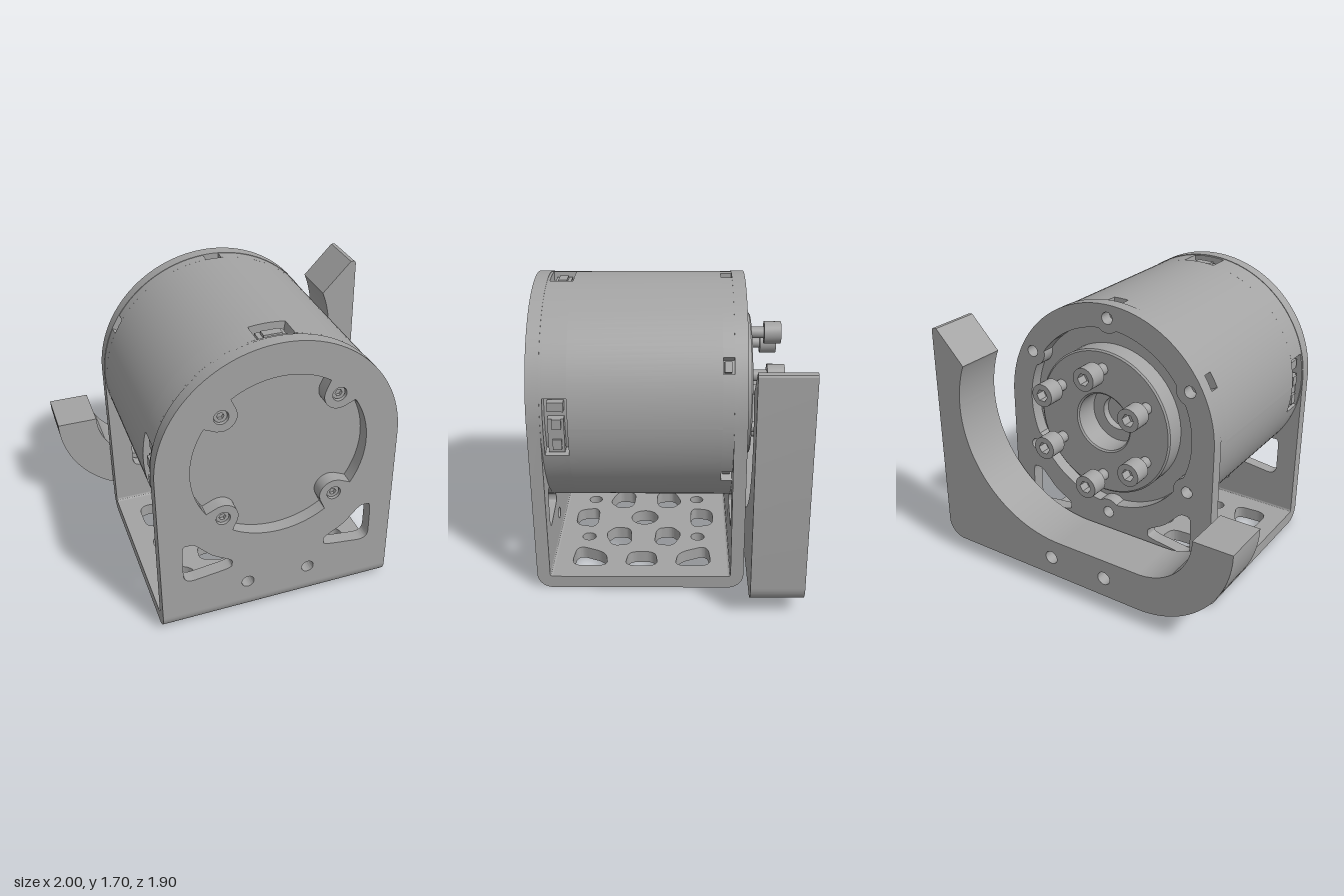
import * as THREE from 'three';
import { toCreasedNormals } from 'three/addons/utils/BufferGeometryUtils.js';

const PI = Math.PI;
const C = 1.025;                 // height of the motor axis
const R = 0.676;                 // body radius
const FRONT = 0.84, BACK = -0.366, T = 0.075;
const grey = new THREE.MeshStandardMaterial({ color: 0xa3a3a3 });
grey.name = 'metal grey';

function add(parent, name, geometry, x = 0, y = 0, z = 0) {
  const mesh = new THREE.Mesh(toCreasedNormals(geometry, 0.5), grey);
  mesh.name = name;
  mesh.position.set(x, y, z);
  parent.add(mesh);
  return mesh;
}
const extrude = (shape, depth, curveSegments = 40) =>
  new THREE.ExtrudeGeometry(shape, { depth, bevelEnabled: false, curveSegments });
const circle = (x, y, r) => new THREE.Path().absarc(x, y, r, 0, PI * 2);
const disc = (r, depth, sides = 64) => new THREE.CylinderGeometry(r, r, depth, sides).rotateX(PI / 2);

// closed polygon with softened corners
function rounded(pts, soft = 0.35) {
  const path = new THREE.Path();
  const v = pts.map(p => new THREE.Vector2(...p));
  v.forEach((p, i) => {
    const a = p.clone().lerp(v[(i + v.length - 1) % v.length], soft);
    const b = p.clone().lerp(v[(i + 1) % v.length], soft);
    if (i) path.lineTo(a.x, a.y); else path.moveTo(a.x, a.y);
    path.quadraticCurveTo(p.x, p.y, b.x, b.y);
  });
  path.closePath();
  return path;
}

// round opening with screw tabs bulging into it
function tabbedOpening(radius, tabs, tabDist, tabR, start) {
  const pts = [];
  for (let i = 0; i < 240; i++) {
    const a = i / 240 * PI * 2, step = PI * 2 / tabs;
    const d = a - start - Math.round((a - start) / step) * step;
    const s = tabR ** 2 - (tabDist * Math.sin(d)) ** 2;
    const r = s > 0 ? Math.min(radius, tabDist * Math.cos(d) - Math.sqrt(s)) : radius;
    pts.push(new THREE.Vector2(r * Math.cos(a), r * Math.sin(a)));
  }
  return new THREE.Path(pts);
}

// upright bracket plate, drawn around the motor axis
function plateShape() {
  const s = new THREE.Shape();
  s.moveTo(-R, 0.09 - C);
  s.lineTo(R, 0.09 - C);
  s.lineTo(R, 0);
  s.absarc(0, 0, R, 0, PI);
  s.closePath();
  for (const m of [-1, 1]) {
    s.holes.push(circle(m * 0.18, 0.215 - C, 0.036));
    s.holes.push(rounded([[-0.55, 0.574], [-0.485, 0.574], [-0.385, 0.468], [-0.27, 0.402], [-0.275, 0.35], [-0.55, 0.316]]
      .map(([x, y]) => [m * x, y - C]), 0.25));
  }
  return s;
}

// solid piece of the tubular housing wall
function wallPiece(a0, a1, depth) {
  const s = new THREE.Shape();
  s.absarc(0, 0, R - 0.003, a0, a1, false);
  s.absarc(0, 0, 0.58, a1, a0, true);
  s.closePath();
  return extrude(s, depth, 32);
}
// ring of housing wall interrupted by gaps [angle, half angle]
function slottedRing(parent, z0, z1, gaps) {
  gaps.forEach(([a, h], i) => {
    const [b, k] = gaps[(i + 1) % gaps.length];
    const end = i === gaps.length - 1 ? b + PI * 2 : b;
    add(parent, 'slottedHousing', wallPiece(a + h, end - k, z1 - z0), 0, 0, z0);
  });
}

// socket head screw, head pointing to +z with its top at z = 0
function screw(headR, headLen, shaftLen) {
  const g = new THREE.Group();
  g.name = 'socketScrew';
  const s = new THREE.Shape().absarc(0, 0, headR, 0, PI * 2);
  const hex = [];
  for (let i = 0; i < 6; i++) hex.push(new THREE.Vector2(Math.cos(i * PI / 3), Math.sin(i * PI / 3)).multiplyScalar(headR * 0.55));
  s.holes.push(new THREE.Path(hex));
  add(g, 'screwHead', extrude(s, headLen, 16), 0, 0, -headLen);
  add(g, 'socketFloor', disc(headR * 0.95, headLen * 0.4, 24), 0, 0, -headLen * 0.79);
  add(g, 'screwShaft', disc(headR * 0.5, shaftLen, 20), 0, 0, -headLen - shaftLen / 2);
  return g;
}

function buildBracket(g) {
  const front = plateShape();
  front.holes.push(tabbedOpening(0.49, 4, 0.45, 0.085, PI / 4));
  for (const x of [-1, 1]) for (const y of [-1, 1]) front.holes.push(circle(x * 0.318, y * 0.318, 0.04));
  add(g, 'frontPlate', extrude(front, T), 0, 0, FRONT - T);

  const back = plateShape();
  back.holes.push(tabbedOpening(0.54, 6, 0.6, 0.085, PI / 6));
  for (let i = 0; i < 6; i++) back.holes.push(circle(0.6 * Math.cos(PI / 6 + i * PI / 3), 0.6 * Math.sin(PI / 6 + i * PI / 3), 0.034));
  add(g, 'backPlate', extrude(back, T), 0, 0, BACK);

  // base with lightening holes, drawn around its own middle
  const mid = (FRONT + BACK) / 2, half = (FRONT - BACK) / 2 - 0.09;
  const base = new THREE.Shape([[-R, -half], [R, -half], [R, half], [-R, half]].map(p => new THREE.Vector2(...p)));
  const mirrored = (pts, mx, my) => base.holes.push(rounded(pts.map(([x, y]) => [x * mx, y * my])));
  for (const m of [-1, 1]) {
    mirrored([[0.41, -0.08], [0.56, -0.1], [0.56, 0.1], [0.41, 0.08]], m, 1);
    mirrored([[-0.12, 0.3], [0.12, 0.3], [0.09, 0.44], [-0.09, 0.44]], 1, m);
    for (const n of [-1, 1]) {
      mirrored([[0.34, 0.4], [0.42, 0.22], [0.56, 0.2], [0.56, 0.42]], m, n);
      mirrored([[0.14, 0.08], [0.32, 0.07], [0.34, 0.19], [0.2, 0.24], [0.12, 0.18]], m, n);
      base.holes.push(circle(m * 0.235, n * 0.34, 0.042));
    }
  }
  base.holes.push(circle(0, 0, 0.085));
  add(g, 'basePlate', extrude(base, T, 12).rotateX(PI / 2), 0, T - C, mid);

  // rounded folds joining base and uprights
  for (const [z, a] of [[FRONT - 0.09, PI], [BACK + 0.09, PI * 1.5]]) {
    const fold = new THREE.Shape();
    fold.absarc(0, 0, 0.09, a, a + PI / 2, false);
    fold.absarc(0, 0, 0.015, a + PI / 2, a, true);
    fold.closePath();
    add(g, 'bracketFold', extrude(fold, R * 2, 10).rotateY(PI / 2), -R, 0.09 - C, z);
  }
}

function buildMotor(g) {
  // housing wall with connector and nut pockets
  const zNut = -0.228, z0 = 0.617, z1 = 0.75;
  slottedRing(g, z0, z1, [[0, 0.255], [PI / 2, 0.15], [PI, 0.255]]);
  slottedRing(g, BACK + T, zNut, [0, 1, 2, 3, 4, 5].map(i => [PI / 6 + i * PI / 3, 0.068]));
  for (const [a, b] of [[zNut, z0], [z1, FRONT - T]])
    for (const s of [0, PI]) add(g, 'housing', wallPiece(s, s + PI, b - a), 0, 0, a);
  add(g, 'innerCore', disc(0.6, 0.965), 0, 0, 0.2825);

  // connectors and nuts inside their pockets
  for (const m of [-1, 1]) {
    add(g, 'sideConnector', new THREE.BoxGeometry(0.05, 0.2, 0.09), m * 0.62, -0.05, 0.684);
    for (const y of [-0.1, 0.02]) add(g, 'sideSocket', new THREE.BoxGeometry(0.03, 0.06, 0.05), m * 0.645, y, 0.679);
    add(g, 'sidePlug', new THREE.BoxGeometry(0.05, 0.055, 0.09), m * 0.615, 0.115, 0.684);
  }
  add(g, 'topConnector', new THREE.BoxGeometry(0.15, 0.06, 0.09), 0, 0.61, 0.684);
  add(g, 'topSocket', new THREE.BoxGeometry(0.1, 0.02, 0.05), 0, 0.647, 0.684);
  for (let i = 0; i < 6; i++) {
    const a = PI / 6 + i * PI / 3;
    const nut = add(g, 'nut', new THREE.BoxGeometry(0.05, 0.06, 0.04), 0.61 * Math.cos(a), 0.61 * Math.sin(a), -0.258);
    nut.rotation.z = a;
  }

  // front screws sunk in the plate tabs
  for (const x of [-1, 1]) for (const y of [-1, 1]) {
    const s = screw(0.036, 0.03, 0.03);
    s.position.set(x * 0.318, y * 0.318, FRONT - 0.015);
    g.add(s);
  }

  // output flange standing in the back opening, with a stepped bore
  const profile = [[0.6, 0.2], [0.6, 0.291], [0.43, 0.291], [0.43, 0.4], [0.42, 0.408],
    [0.18, 0.408], [0.17, 0.4], [0.17, 0.26], [0.1, 0.26], [0.1, 0.215], [0, 0.215]];
  add(g, 'outputFlange', new THREE.LatheGeometry(profile.map(p => new THREE.Vector2(...p)), 72).rotateX(-PI / 2));

  // partly driven output screws
  for (let i = 0; i < 6; i++) {
    const a = PI / 6 + i * PI / 3, s = screw(0.066, 0.1, 0.12);
    s.position.set(0.325 * Math.cos(a), 0.325 * Math.sin(a), -0.59);
    s.rotation.y = PI;
    g.add(s);
  }
}

// curved arm: tall chamfered end on one side, short upturned end on the other
function buildArm(g) {
  const s = new THREE.Shape();
  s.absarc(-0.406, -0.358, 0.57, PI, PI * 1.5, false);
  s.absarc(0.876, -0.818, 0.11, -PI / 2, 0, false);
  s.lineTo(0.986, 0.425);
  s.quadraticCurveTo(0.986, 0.445, 0.966, 0.445);
  s.lineTo(0.952, 0.445);
  s.lineTo(0.768, 0.255);
  s.absarc(0.125, 0, 0.692, 0.3755, -PI / 2, true);
  s.absarc(-0.406, -0.358, 0.334, -PI / 2, -PI, true);
  s.closePath();
  for (const m of [-1, 1]) s.holes.push(circle(m * 0.185, 0.215 - C, 0.04));
  add(g, 'outputArm', extrude(s, 0.301), 0, 0, -0.685);
}

export function createModel() {
  const model = new THREE.Group();
  model.name = 'actuatorWithBracket';
  const body = new THREE.Group();
  body.name = 'actuator';
  body.position.set(-0.135 * Math.cos(PI / 12), C, -0.135 * Math.sin(PI / 12));
  body.rotation.y = -PI / 12;
  for (const [name, build] of [['bracket', buildBracket], ['motor', buildMotor], ['arm', buildArm]]) {
    const part = new THREE.Group();
    part.name = name;
    build(part);
    body.add(part);
  }
  model.add(body);
  return model;
}
